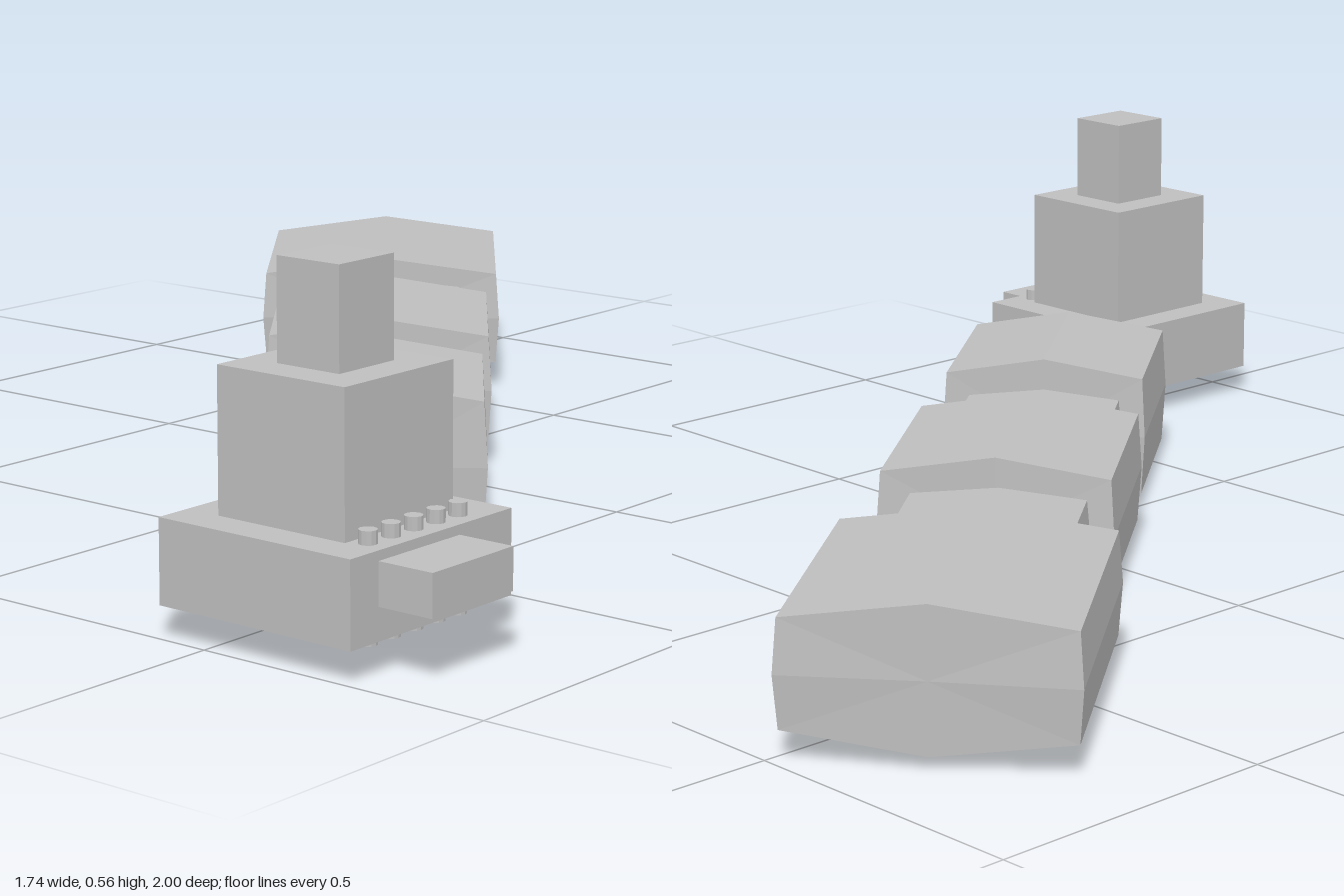
import * as THREE from 'three';

// Skin between equal rings (counter-clockwise seen from the last ring), closed at both ends
function loft(rings) {
  const pos = [];
  const tri = (...pts) => pts.forEach(p => pos.push(p.x, p.y, p.z));
  const n = rings[0].length;
  const centre = r => r.reduce((s, p) => s.add(p), new THREE.Vector3()).divideScalar(n);
  const first = rings[0], last = rings[rings.length - 1];
  for (let i = 0; i < n; i++) {
    const j = (i + 1) % n;
    for (let k = 0; k + 1 < rings.length; k++) {
      const a = rings[k], b = rings[k + 1];
      tri(a[i], a[j], b[j]);
      tri(a[i], b[j], b[i]);
    }
    tri(centre(first), first[j], first[i]);
    tri(centre(last), last[i], last[j]);
  }
  const g = new THREE.BufferGeometry();
  g.setAttribute('position', new THREE.Float32BufferAttribute(pos, 3));
  g.computeVertexNormals();
  return g;
}

// Eight-sided block with a ridge above and below and slightly swollen sides and ends
function ridgedBlock(halfWidth, halfLength, sideHeight, ridgeHeight) {
  const w = halfWidth, s = sideHeight, r = ridgeHeight, b = 0.006;
  const section = [[w, 0], [w - b, s], [0, r], [b - w, s], [-w, 0], [b - w, -s], [0, -r], [w - b, -s]];
  const ring = end => section.map(([x, y]) =>
    new THREE.Vector3(x, y, end * (halfLength - (y === 0 ? 0 : b))));
  return loft([ring(-1), ring(1)]);
}

export function createModel() {
  const model = new THREE.Group();
  const grey = new THREE.MeshStandardMaterial({ color: 0xbebebe });
  grey.name = 'grey';
  grey.flatShading = true;

  const add = (name, geometry, x = 0, y = 0, z = 0) => {
    const mesh = new THREE.Mesh(geometry, grey);
    mesh.name = name;
    mesh.position.set(x, y, z);
    model.add(mesh);
    return mesh;
  };
  const box = (name, x0, x1, y0, y1, z0, z1) =>
    add(name, new THREE.BoxGeometry(x1 - x0, y1 - y0, z1 - z0), (x0 + x1) / 2, (y0 + y1) / 2, (z0 + z1) / 2);

  // Chain of blocks and narrower links: x, z, half width, half length, side and ridge half heights
  const heading = Math.atan2(0.62, 0.785);
  const chain = [
    ['rearBlock', -0.545, -0.67, 0.224, 0.243, 0.085, 0.115],
    ['rearLink', -0.323, -0.395, 0.15, 0.16, 0.06, 0.075],
    ['middleBlock', -0.123, -0.15, 0.194, 0.206, 0.095, 0.125],
    ['frontLink', 0.061, 0.081, 0.14, 0.14, 0.065, 0.08],
    ['frontBlock', 0.232, 0.298, 0.181, 0.185, 0.105, 0.135],
  ];
  for (const [name, x, z, w, l, s, r] of chain) {
    add(name, ridgedBlock(w, l, s, r), x, 0.135, z).rotation.y = heading;
  }

  // Bent arm joining the chain to the head: x, y, z, direction x, direction z
  const arm = [
    [0.352, 0.138, 0.443, 0.69, 0.72],
    [0.447, 0.14, 0.54, 0.6, 0.82],
    [0.512, 0.145, 0.66, 0.47, 0.88],
  ];
  add('arm', loft(arm.map(([x, y, z, dx, dz]) =>
    [[1, -1], [1, 1], [-1, 1], [-1, -1]].map(([u, v]) =>
      new THREE.Vector3(x + u * 0.029 * dz, y + v * 0.022, z - u * 0.029 * dx)))));

  // Stepped head
  box('headBase', 0.415, 0.77, 0.09, 0.18, 0.64, 1.0);
  box('headMiddle', 0.475, 0.71, 0.18, 0.4, 0.7, 0.94);
  box('headTop', 0.535, 0.65, 0.4, 0.555, 0.76, 0.88);
  box('sideTab', 0.77, 0.865, 0.1, 0.165, 0.76, 0.94);

  // Underside of the head with square sockets
  const rectangle = (PathType, x0, x1, z0, z1) => new PathType()
    .moveTo(x0, z0).lineTo(x1, z0).lineTo(x1, z1).lineTo(x0, z1).closePath();
  const underside = rectangle(THREE.Shape, 0.415, 0.77, 0.64, 1.0);
  for (const x of [0.5, 0.63]) {
    for (const z of [0.74, 0.9]) {
      underside.holes.push(rectangle(THREE.Path, x - 0.028, x + 0.028, z - 0.028, z + 0.028));
    }
  }
  const plate = new THREE.ExtrudeGeometry(underside, { depth: 0.04, bevelEnabled: false });
  add('headUnderside', plate.rotateX(Math.PI / 2), 0, 0.09, 0);

  // Row of pins through the base
  for (let i = 0; i < 5; i++) {
    add('pin', new THREE.CylinderGeometry(0.014, 0.014, 0.165, 12), 0.735, 0.118, 0.72 + i * 0.05);
  }
  return model;
}
